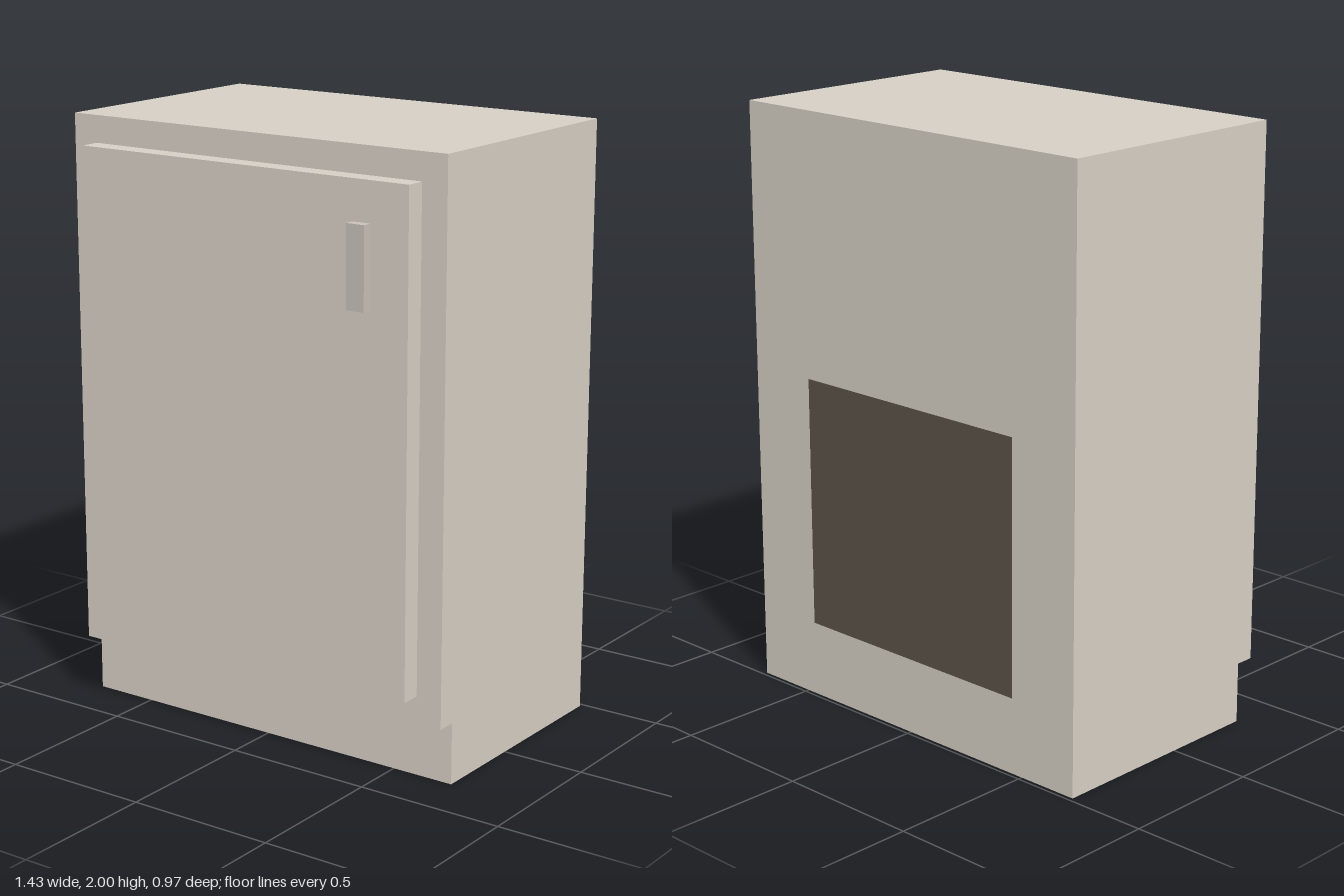
import * as THREE from 'three';

const bodyMat = new THREE.MeshStandardMaterial({ color: 0xd6cfc4 });
const handleMat = new THREE.MeshStandardMaterial({ color: 0xc8c0b8 });
const ventMat = new THREE.MeshStandardMaterial({ color: 0x5a5249 });

const WIDTH = 1.434, BACK = -0.485, FRONT = 0.385, PLINTH_FRONT = 0.32, PLINTH_TOP = 0.205;

// Box given by its lowest and highest corners
function box(name, [x0, y0, z0], [x1, y1, z1], material) {
  const mesh = new THREE.Mesh(new THREE.BoxGeometry(x1 - x0, y1 - y0, z1 - z0), material);
  mesh.position.set((x0 + x1) / 2, (y0 + y1) / 2, (z0 + z1) / 2);
  mesh.name = name;
  return mesh;
}

export function createModel() {
  const group = new THREE.Group();
  group.name = 'cabinet';

  // Cabinet body with recessed toe kick: side profile (-z, y) extruded across x
  const profile = new THREE.Shape([
    [-PLINTH_FRONT, 0], [-BACK, 0], [-BACK, 2],
    [-FRONT, 2], [-FRONT, PLINTH_TOP], [-PLINTH_FRONT, PLINTH_TOP],
  ].map(([x, y]) => new THREE.Vector2(x, y)));
  const bodyGeo = new THREE.ExtrudeGeometry(profile, { depth: WIDTH, bevelEnabled: false });
  bodyGeo.translate(0, 0, -WIDTH / 2).rotateY(Math.PI / 2);
  const body = new THREE.Mesh(bodyGeo, bodyMat);
  body.name = 'cabinetBody';
  group.add(body);

  // Door and its handle
  group.add(box('door', [-0.627, 0.295, FRONT], [0.627, 1.91, 0.453], bodyMat));
  group.add(box('handle', [0.425, 1.515, 0.453], [0.49, 1.78, 0.485], handleMat));

  // Dark panel on the back
  const panel = new THREE.Mesh(new THREE.PlaneGeometry(0.92, 0.855), ventMat);
  panel.name = 'backPanel';
  panel.rotation.y = Math.PI;
  panel.position.set(0, 0.685, BACK - 0.002);
  group.add(panel);

  return group;
}
